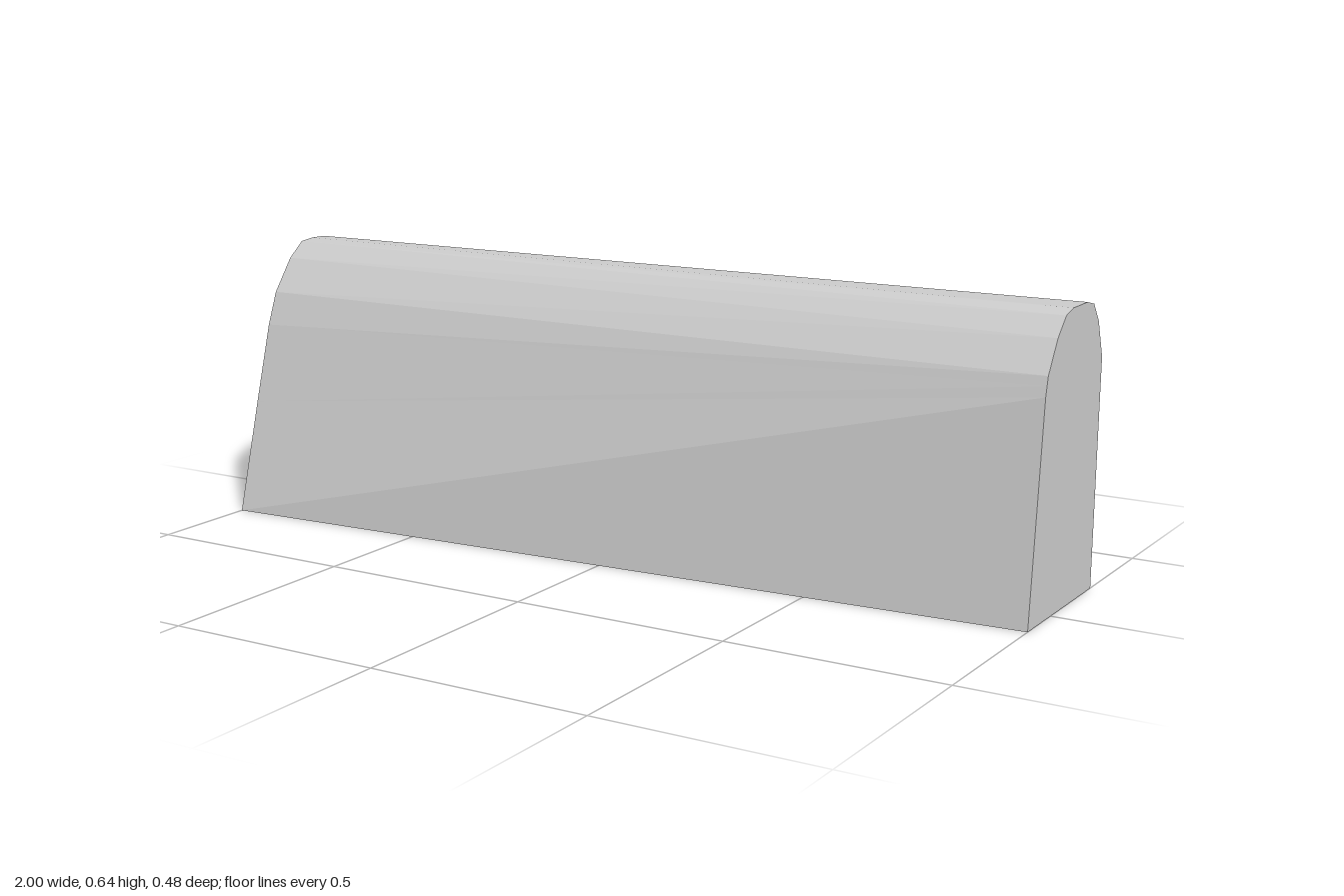
import * as THREE from 'three';

// End profiles as [z, y], running from the front foot over the crown to the back foot
const narrowEnd = [
  [0.125, 0], [0.077, 0.48], [0.072, 0.502], [0.067, 0.522], [0.022, 0.592], [-0.02, 0.632],
  [-0.06, 0.642], [-0.14, 0.642], [-0.178, 0.633], [-0.21, 0.592], [-0.24, 0.51], [-0.232, 0],
];
const wideEnd = [
  [0.242, 0], [0.17, 0.26], [0.118, 0.443], [0.088, 0.52], [0.03, 0.597], [-0.016, 0.633],
  [-0.055, 0.637], [-0.1, 0.636], [-0.125, 0.626], [-0.155, 0.586], [-0.18, 0.51], [-0.172, 0],
];

// Lofts a closed solid between two matching profiles at x = -1 and x = 1
function loft(left, right) {
  const n = left.length;
  const positions = [...left.map(([z, y]) => [-1, y, z]), ...right.map(([z, y]) => [1, y, z])].flat();
  const index = [];
  for (let i = 0; i < n; i++) {
    const j = (i + 1) % n;
    // The diagonal turns over at the crown
    if (i < n / 2) index.push(i, n + i, n + j, i, n + j, j);
    else index.push(i, n + i, j, n + i, n + j, j);
  }
  // End caps
  for (let i = 1; i < n - 1; i++) {
    index.push(0, i, i + 1);
    index.push(n, n + i + 1, n + i);
  }
  const indexed = new THREE.BufferGeometry();
  indexed.setAttribute('position', new THREE.Float32BufferAttribute(positions, 3));
  indexed.setIndex(index);
  const geometry = indexed.toNonIndexed();
  geometry.computeVertexNormals();
  return geometry;
}

export function createModel() {
  const group = new THREE.Group();
  group.name = 'roundedBarrier';
  const material = new THREE.MeshStandardMaterial({ color: 0xcccccc, flatShading: true });
  const body = new THREE.Mesh(loft(wideEnd, narrowEnd), material);
  body.name = 'barrierBody';
  group.add(body);
  return group;
}
